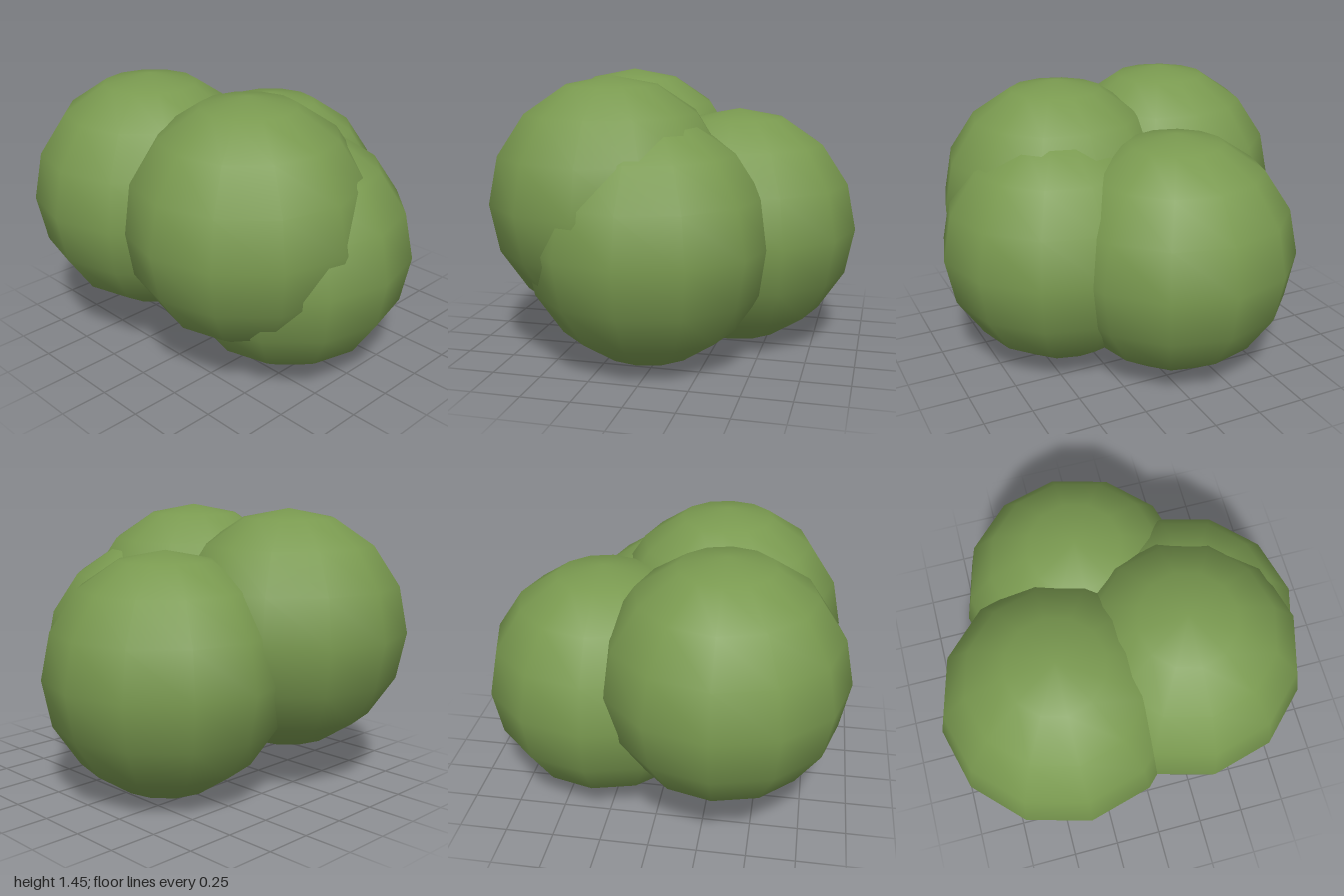
import * as THREE from 'three';

// A bush made of four overlapping, smooth-shaded leaf clumps
export function createModel() {
  const bush = new THREE.Group();
  bush.name = 'bush';

  const leafGreen = new THREE.MeshStandardMaterial({ color: 0x7a9a50 });
  leafGreen.name = 'leaf green';

  const radius = 0.632;
  const clumpShape = new THREE.SphereGeometry(radius, 12, 8);

  // name and centre of each clump
  const clumps = [
    ['frontRightClump', -0.368, 0.822, 0.326],
    ['frontLeftClump', 0.283, 0.822, 0.26],
    ['lowLeftClump', 0.366, radius, 0.045],
    ['backClump', -0.125, radius, -0.328],
  ];
  for (const [name, x, y, z] of clumps) {
    const clump = new THREE.Mesh(clumpShape, leafGreen);
    clump.name = name;
    clump.position.set(x, y, z);
    bush.add(clump);
  }
  return bush;
}
